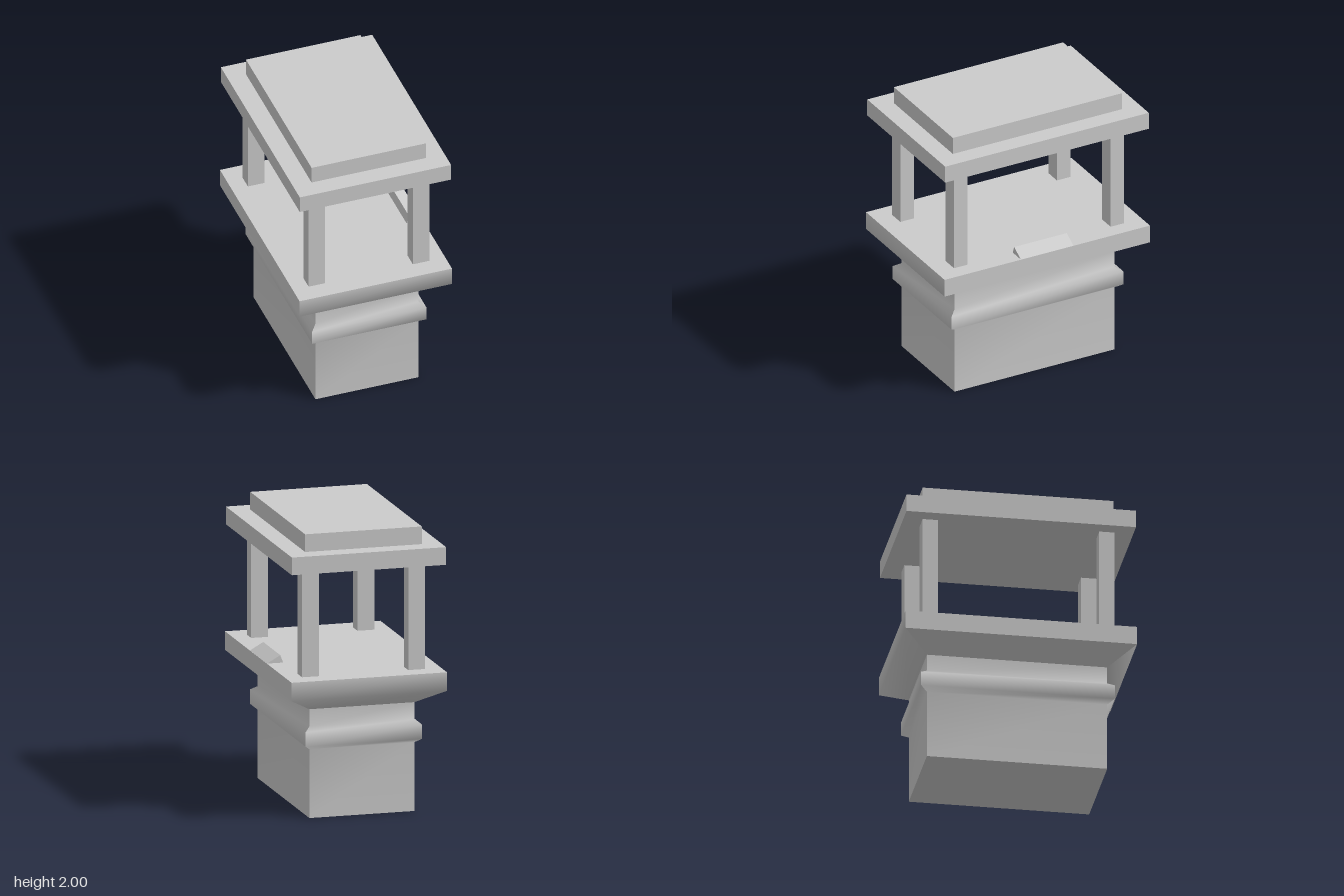
import * as THREE from 'three';

const material = new THREE.MeshStandardMaterial({ color: 0xcccccc });

function add(parent, name, geometry, x = 0, y = 0, z = 0) {
  const mesh = new THREE.Mesh(geometry, material);
  mesh.name = name;
  mesh.position.set(x, y, z);
  parent.add(mesh);
  return mesh;
}

// Flat slab given by half extents and its bottom and top heights
function slab(parent, name, hx, hz, y0, y1, x = 0, z = 0) {
  return add(parent, name, new THREE.BoxGeometry(2 * hx, y1 - y0, 2 * hz), x, (y0 + y1) / 2, z);
}

// One wall (0 front, 1 left, 2 back, 3 right) lofted through rows of
// [halfX, halfZ, y], with smooth normals up the wall and sharp corners
function wall(rows, side) {
  const corners = [[-1, 1], [1, 1], [1, -1], [-1, -1]];
  const positions = [], index = [];
  rows.forEach(([hx, hz, y], i) => {
    for (const [sx, sz] of [corners[side], corners[(side + 1) % 4]]) positions.push(sx * hx, y, sz * hz);
    if (i) {
      const a = 2 * i - 2;
      index.push(a, a + 1, a + 3, a, a + 3, a + 2);
    }
  });
  const geometry = new THREE.BufferGeometry();
  geometry.setAttribute('position', new THREE.Float32BufferAttribute(positions, 3));
  geometry.setIndex(index);
  geometry.computeVertexNormals();
  return geometry;
}

// Horizontal closing face
function cap(parent, name, [hx, hz, y], up) {
  const geometry = new THREE.PlaneGeometry(2 * hx, 2 * hz).rotateX(up ? -Math.PI / 2 : Math.PI / 2);
  return add(parent, name, geometry, 0, y, 0);
}

export function createModel() {
  const model = new THREE.Group();
  model.name = 'kiosk';

  // Pedestal with a chamfered moulding band
  const pedestal = new THREE.Group();
  pedestal.name = 'pedestal';
  const body = [
    [0.374, 0.624, 0], [0.374, 0.624, 0.483], [0.415, 0.67, 0.513],
    [0.415, 0.67, 0.613], [0.374, 0.624, 0.643], [0.374, 0.624, 0.763],
  ];
  for (let s = 0; s < 4; s++) add(pedestal, 'pedestalWall', wall(body, s));
  cap(pedestal, 'pedestalBottom', body[0], false);
  model.add(pedestal);

  // Flared counter: soft on the front and back, crisp on the long sides
  const counter = new THREE.Group();
  counter.name = 'counter';
  const flare = [[0.374, 0.624, 0.763], [0.553, 0.801, 0.87], [0.553, 0.801, 1]];
  for (let s = 0; s < 4; s++) {
    if (s % 2 === 0) {
      add(counter, 'counterEnd', wall(flare, s));
    } else {
      add(counter, 'counterUnderside', wall(flare.slice(0, 2), s));
      add(counter, 'counterEdge', wall(flare.slice(1), s));
    }
  }
  cap(counter, 'counterTop', flare[2], true);
  model.add(counter);

  // Four corner posts
  for (const sx of [-1, 1]) {
    for (const sz of [-1, 1]) slab(model, 'post', 0.06, 0.053, 1, 1.752, sx * 0.378, sz * 0.611);
  }

  // Stepped roof
  slab(model, 'roofSlab', 0.549, 0.794, 1.752, 1.876);
  slab(model, 'roofTop', 0.415, 0.66, 1.876, 2);

  // Small sloping wedge on the left edge of the counter
  const profile = new THREE.Shape([
    new THREE.Vector2(0.437, 1), new THREE.Vector2(0.552, 1), new THREE.Vector2(0.457, 1.053),
  ]);
  const wedge = new THREE.ExtrudeGeometry(profile, { depth: 0.41, bevelEnabled: false });
  add(model, 'displayWedge', wedge, 0, 0, -0.205);

  return model;
}
